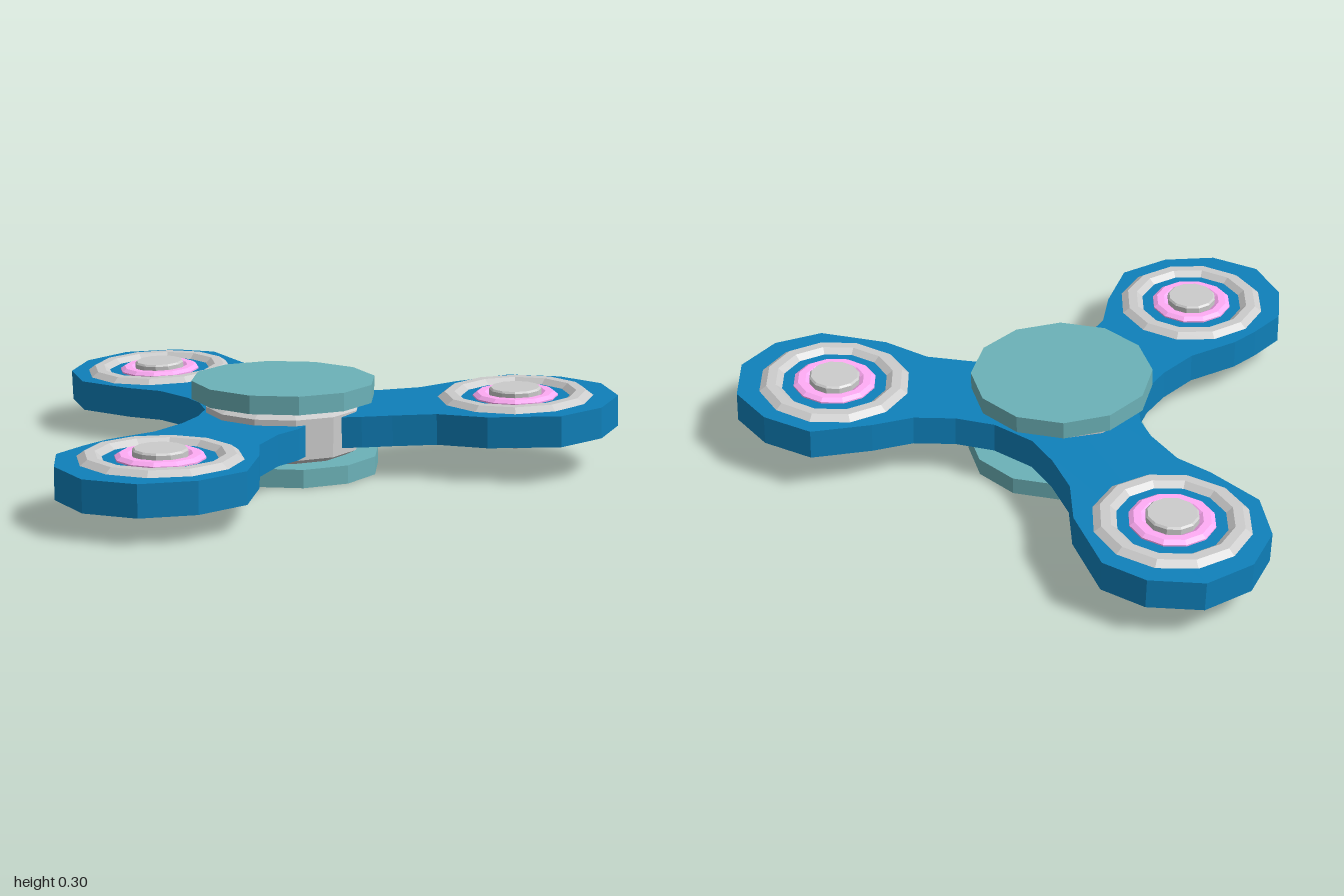
import * as THREE from 'three';

const material = (color) => new THREE.MeshStandardMaterial({ color, flatShading: true, side: THREE.DoubleSide });
const grey = material(0xcccccc);
const blue = material(0x0f80ba);
const teal = material(0x6cb2b8);
const pink = material(0xffabf5);
const SIDES = 12;

function part(name, geometry, mat, parent) {
  const mesh = new THREE.Mesh(geometry, mat);
  mesh.name = name;
  parent.add(mesh);
  return mesh;
}

// twelve-sided turned part; phase sets where the corners fall
function lathe(points, phase = Math.PI / SIDES) {
  return new THREE.LatheGeometry(points.map(([r, y]) => new THREE.Vector2(r, y)), SIDES, phase);
}

// flat plate from an outline of [x, z] corners, centred on y = 0
function plate(outline, thickness) {
  const shape = new THREE.Shape(outline.map(([x, z]) => new THREE.Vector2(x, -z)));
  const geometry = new THREE.ExtrudeGeometry(shape, { depth: thickness, bevelEnabled: false });
  return geometry.rotateX(-Math.PI / 2).translate(0, -thickness / 2, 0);
}

function bearing(x, z) {
  const group = new THREE.Group();
  group.name = 'bearing';
  group.position.set(x, 0, z);
  part('outerRing', lathe([
    [0.165, -0.04], [0.2, -0.068], [0.232, -0.068], [0.257, -0.05],
    [0.257, 0.05], [0.232, 0.068], [0.2, 0.068], [0.165, 0.04], [0.165, -0.04],
  ]), grey, group);
  part('innerRingTop', lathe([
    [0.14, 0], [0.14, 0.056], [0.125, 0.066], [0.1, 0.066], [0.085, 0.056],
  ]), pink, group);
  part('innerRingBottom', lathe([
    [0.085, -0.056], [0.1, -0.064], [0.125, -0.064], [0.14, -0.054], [0.14, 0],
  ]), grey, group);
  part('pin', lathe([
    [0, -0.072], [0.08, -0.072], [0.086, -0.064], [0.086, 0.076], [0.08, 0.082], [0, 0.082],
  ]), grey, group);
  return group;
}

export function createModel() {
  const model = new THREE.Group();
  model.name = 'spinner';

  // left and rear arms share one slightly tilted plate
  const tilted = new THREE.Group();
  tilted.name = 'leftAndRearArms';
  tilted.position.y = 0.148;
  tilted.rotation.x = 0.048;
  model.add(tilted);
  part('leftAndRearPlate', plate([
    [0.38, -0.06], [0.45, -0.14], [0.51, -0.22], [0.6, -0.33], [0.75, -0.41], [0.91, -0.58],
    [0.925, -0.75], [0.85, -0.91], [0.69, -1], [0.52, -0.98], [0.37, -0.885], [0.31, -0.69],
    [0.285, -0.55], [0.215, -0.43], [0.12, -0.335], [-0.02, -0.275], [-0.15, -0.275],
    [-0.3, -0.3], [-0.45, -0.378], [-0.69, -0.423], [-0.83, -0.35], [-0.93, -0.2],
    [-0.92, -0.02], [-0.82, 0.12], [-0.65, 0.19], [-0.45, 0.14], [-0.33, 0.09],
    [-0.18, 0.085], [-0.1, 0.1], [0.03, 0.14], [0.2, 0.1],
  ], 0.102), blue, tilted);
  tilted.add(bearing(0.605, -0.68), bearing(-0.61, -0.115));

  // front arm, nearly level
  const front = new THREE.Group();
  front.name = 'frontArm';
  front.position.y = 0.143;
  front.rotation.x = 0.008;
  model.add(front);
  part('frontPlate', plate([
    [0.38, 0.02], [0.42, 0.1], [0.44, 0.2], [0.51, 0.33], [0.62, 0.42], [0.75, 0.57],
    [0.75, 0.75], [0.67, 0.91], [0.52, 1], [0.34, 0.975], [0.21, 0.88], [0.17, 0.75],
    [0.15, 0.65], [0.155, 0.47], [0.115, 0.33], [0.065, 0.23], [0, 0.15], [-0.1, 0.1], [0.1, 0],
  ], 0.102), blue, front);
  front.add(bearing(0.45, 0.665));

  // hub column between the two finger caps
  part('hubBearing', lathe([
    [0, 0.062], [0.22, 0.062], [0.255, 0.08], [0.255, 0.212], [0.22, 0.23], [0, 0.23],
  ], 0), grey, model).position.set(0.165, 0, -0.045);

  // finger caps
  for (const [name, y, z] of [['topCap', 0.27, -0.045], ['bottomCap', 0.03, -0.065]]) {
    part(name, new THREE.CylinderGeometry(0.304, 0.304, 0.06, SIDES), teal, model).position.set(0.167, y, z);
  }

  return model;
}
